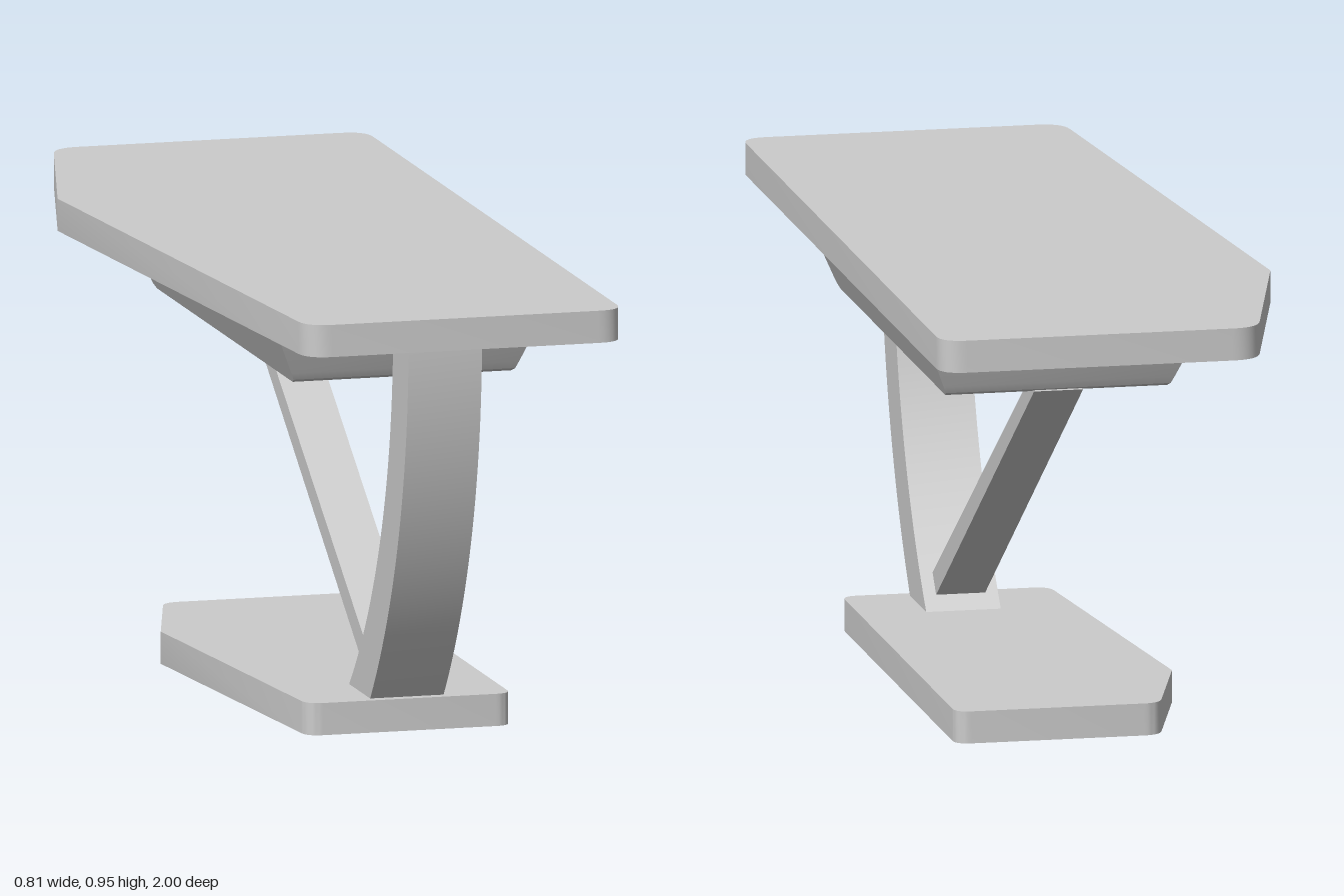
import * as THREE from 'three';
import { toCreasedNormals } from 'three/addons/utils/BufferGeometryUtils.js';

const material = new THREE.MeshStandardMaterial({ color: 0xcccccc });

function addPart(group, name, geometry) {
  const mesh = new THREE.Mesh(toCreasedNormals(geometry, 0.45), material);
  mesh.name = name;
  group.add(mesh);
}

// Five-sided plan [x, z]: straight on one side, peaked on the other, corners rounded
function slab(corners, cut, bottom, top) {
  const pts = corners.map(([x, z]) => new THREE.Vector2(x, z));
  const shape = new THREE.Shape();
  pts.forEach((p, i) => {
    const prev = pts[(i + pts.length - 1) % pts.length];
    const next = pts[(i + 1) % pts.length];
    const a = p.clone().add(prev.clone().sub(p).setLength(cut));
    const b = p.clone().add(next.clone().sub(p).setLength(cut));
    const go = (q) => (i === 0 ? shape.moveTo(q.x, q.y) : shape.lineTo(q.x, q.y));
    if (i === 0) return go(p); // the peak stays sharp
    go(a);
    shape.quadraticCurveTo(p.x, p.y, b.x, b.y);
  });
  shape.closePath();
  return new THREE.ExtrudeGeometry(shape, { depth: top - bottom, bevelEnabled: false, curveSegments: 8 })
    .rotateX(Math.PI / 2)
    .translate(0, top, 0);
}

// Side profile drawn as [z, y], extruded across x from x0 to x1
function sideExtrude(points, x0, x1) {
  const shape = new THREE.Shape(points.map(([z, y]) => new THREE.Vector2(-z, y)));
  return new THREE.ExtrudeGeometry(shape, { depth: x1 - x0, bevelEnabled: false })
    .rotateY(Math.PI / 2)
    .translate(x0, 0, 0);
}

export function createModel() {
  const group = new THREE.Group();

  // Table top and the smaller base of the same outline
  const plan = [[-0.405, -0.47], [-0.267, -1], [0.405, -1], [0.405, 1], [-0.276, 1]];
  addPart(group, 'tableTop', slab(plan, 0.055, 0.885, 0.953));
  const basePlan = plan.map(([x, z]) => [0.283 + (x - 0.405) * 0.645, z * 0.5685]);
  addPart(group, 'base', slab(basePlan, 0.034, 0, 0.068));

  // Tapered box under the top, its sides leaning in towards the bottom
  const box = sideExtrude([
    [0.58, 0.888], [0.532, 0.76], [0.524, 0.745], [0.505, 0.737],
    [-0.545, 0.737], [-0.564, 0.745], [-0.572, 0.76], [-0.62, 0.888],
  ], 0, 1);
  const pos = box.attributes.position;
  for (let i = 0; i < pos.count; i++) {
    const t = (pos.getY(i) - 0.737) / 0.148;
    const left = -0.17 - 0.065 * t, right = 0.3 + 0.06 * t;
    pos.setX(i, left + (right - left) * pos.getX(i));
  }
  addPart(group, 'underBox', box);

  // Curved column: two concentric arcs from the top down to the base
  const arc = (r) => {
    const end = Math.asin((0.885 - 0.066) / r);
    return Array.from({ length: 25 }, (_, i) => {
      const a = (end * i) / 24;
      return [-0.43 + r * Math.cos(a), 0.887 - r * Math.sin(a)];
    });
  };
  addPart(group, 'column', sideExtrude([...arc(1.275), ...arc(1.155).reverse()], -0.015, 0.143));

  // Diagonal strut from the column foot to the back of the box
  addPart(group, 'strut', sideExtrude(
    [[0.455, 0.133], [0.424, 0.09], [-0.564, 0.74], [-0.489, 0.74]], 0.012, 0.116));

  return group;
}
